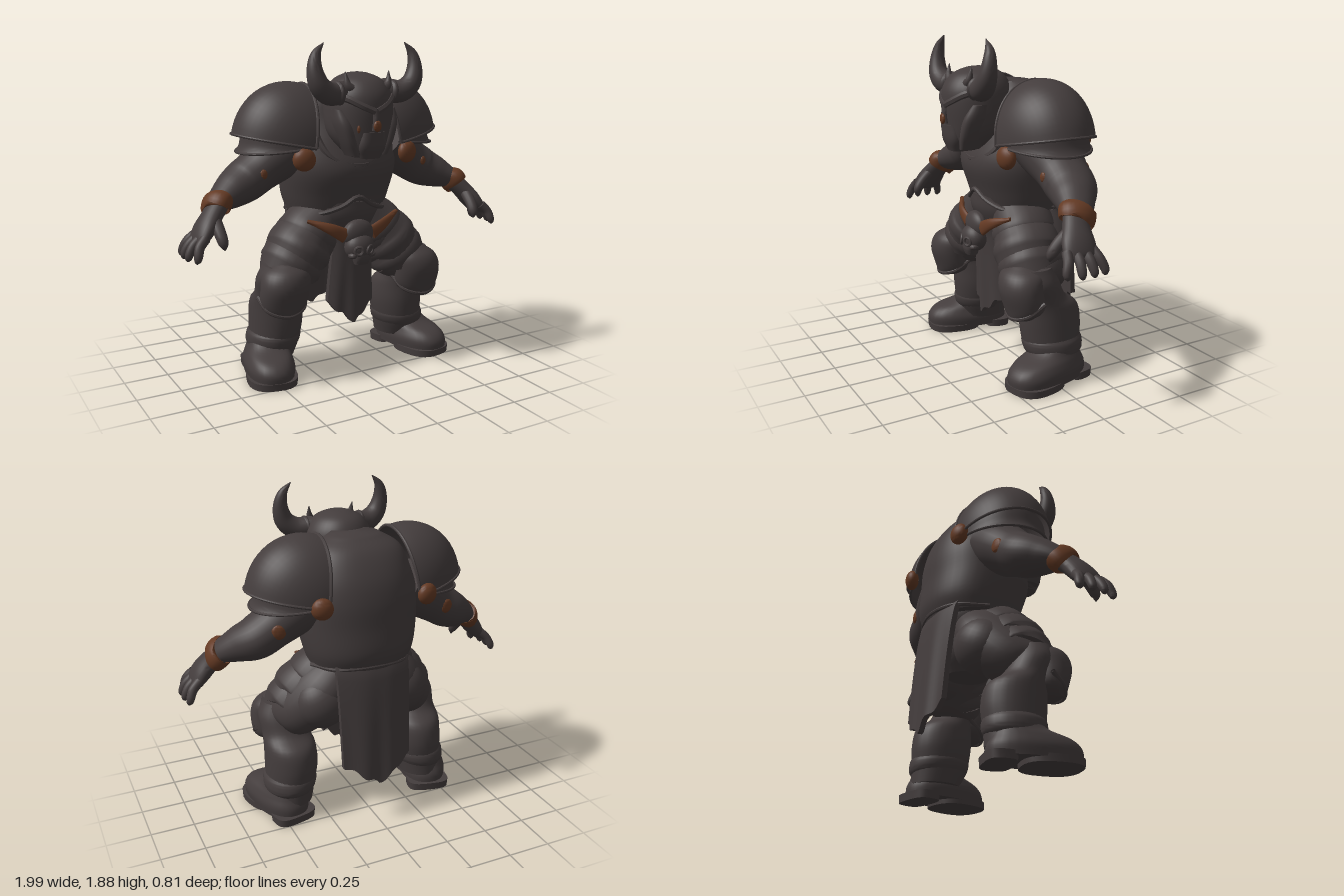
import * as THREE from 'three';
import { toCreasedNormals } from 'three/addons/utils/BufferGeometryUtils.js';

const material = (name, color) => {
  const m = new THREE.MeshStandardMaterial({ color, side: THREE.DoubleSide });
  m.name = name;
  return m;
};

// Smooth tube through rows of [x, y, z, radiusA, radiusB].
// flat: rings stay horizontal (rows run upward); power > 1 makes rings boxier.
function loft(rows, { flat = false, n = 28, steps = 5, power = 1 } = {}) {
  const path = new THREE.CatmullRomCurve3(rows.map(r => new THREE.Vector3(r[0], r[1], r[2])));
  const size = new THREE.CatmullRomCurve3(rows.map(r => new THREE.Vector3(r[3], r[4] ?? r[3], 0)));
  path.curveType = size.curveType = 'catmullrom';
  const count = (rows.length - 1) * steps, pos = [], idx = [];
  const soft = v => Math.sign(v) * Math.abs(v) ** (1 / power);
  for (let i = 0; i <= count; i++) {
    const c = path.getPoint(i / count), s = size.getPoint(i / count);
    const T = flat ? new THREE.Vector3(0, 1, 0) : path.getTangent(i / count);
    const V = new THREE.Vector3(0, 0, 1).addScaledVector(T, -T.z).normalize();
    const U = T.clone().cross(V);
    for (let j = 0; j < n; j++) {
      const a = j / n * Math.PI * 2;
      const p = c.clone().addScaledVector(U, soft(Math.cos(a)) * Math.max(s.x, 0.001))
        .addScaledVector(V, soft(Math.sin(a)) * Math.max(s.y, 0.001));
      pos.push(p.x, p.y, p.z);
    }
  }
  for (let i = 0; i < count; i++) for (let j = 0; j < n; j++) {
    const a = i * n + j, b = i * n + (j + 1) % n;
    idx.push(a, a + n, b, b, a + n, b + n);
  }
  // end caps
  const first = rows[0], last = rows[rows.length - 1], top = count * n, k = pos.length / 3;
  pos.push(first[0], first[1], first[2], last[0], last[1], last[2]);
  for (let j = 0; j < n; j++) {
    const q = (j + 1) % n;
    idx.push(k, j, q, k + 1, top + q, top + j);
  }
  const g = new THREE.BufferGeometry();
  g.setAttribute('position', new THREE.Float32BufferAttribute(pos, 3));
  g.setIndex(idx);
  return g;
}

const place = (g, [x, y, z], [a, b, c] = [0, 0, 0]) =>
  g.rotateX(a).rotateY(b).rotateZ(c).translate(x, y, z);
const ball = (p, s, r) => place(new THREE.SphereGeometry(1, 28, 18).scale(...s), p, r);
const tube = (pts, r) => new THREE.TubeGeometry(
  new THREE.CatmullRomCurve3(pts.map(p => new THREE.Vector3(...p))), 28, r, 8);

// Point on a shoulder arch: t leans the arch outward, f runs from front pole to back pole.
const archPoint = (t, f, r, half) => {
  const q = (r + 0.026 * Math.sin(2 * t)) * Math.sin(f) ** 0.95;
  return [0.27 + Math.sin(t) * q, 1.32 + Math.cos(t) * q, -0.05 + half * Math.cos(f)];
};
const archRim = (t, r, half, width) => tube(
  Array.from({ length: 15 }, (_, i) => archPoint(t, i / 14 * Math.PI, r, half)), width);
function shoulderShell(from, to, radius, flare, half) {
  const g = new THREE.PlaneGeometry(1, 1, 14, 28), p = g.attributes.position;
  for (let i = 0; i < p.count; i++) {
    const u = p.getX(i) + 0.5, f = (p.getY(i) + 0.5) * Math.PI;
    p.setXYZ(i, ...archPoint(from + (to - from) * u, f, radius + flare * u ** 4, half));
  }
  return g;
}

// Hanging cloth with soft folds and a pointed hem.
function cloth(w0, w1, top, side, tip, z0, z1, curl) {
  const g = new THREE.BoxGeometry(1, 1, 1, 22, 14, 1), p = g.attributes.position;
  for (let i = 0; i < p.count; i++) {
    const x = p.getX(i) * 2, v = 0.5 - p.getY(i);
    const hem = tip + (side - tip) * Math.abs(x) + 0.012 * Math.sin(x * 11);
    const fold = 0.006 * v * Math.cos(x * 8);
    p.setXYZ(i, x * (w0 + (w1 - w0) * v), top + (hem - top) * v,
      z0 + (z1 - z0) * Math.sqrt(v) + curl * x * x + fold + p.getZ(i) * 0.03);
  }
  return g;
}

export function createModel() {
  const iron = material('dark iron', 0x443d3d);
  const bronze = material('bronze', 0x643a24);
  const model = new THREE.Group();
  model.name = 'hornedWarrior';

  const add = (name, geometry, mat = iron, mirror = false) => {
    const g = geometry.index ? geometry.toNonIndexed() : geometry.clone();
    for (const key of Object.keys(g.attributes)) if (key !== 'position') g.deleteAttribute(key);
    if (mirror) { // reflect in x and restore the winding
      const a = g.attributes.position.array;
      for (let i = 0; i < a.length; i += 9) for (let k = 0; k < 3; k++) {
        const s = k === 0 ? -1 : 1, t = a[i + 3 + k];
        a[i + k] *= s;
        a[i + 3 + k] = a[i + 6 + k] * s;
        a[i + 6 + k] = t * s;
      }
    }
    const mesh = new THREE.Mesh(toCreasedNormals(g, 0.75), mat);
    mesh.name = name;
    model.add(mesh);
  };
  const pair = (name, g, mat) => {
    add('left' + name, g, mat);
    add('right' + name, g, mat, true);
  };

  // Torso armour and pelvis
  add('torso', loft([[0, 0.93, -0.08, 0.29, 0.25], [0, 1.03, -0.08, 0.32, 0.28], [0, 1.18, -0.055, 0.345, 0.295],
    [0, 1.32, -0.07, 0.34, 0.27], [0, 1.45, -0.08, 0.3, 0.225], [0, 1.57, -0.06, 0.25, 0.17],
    [0, 1.64, -0.03, 0.14, 0.1]], { flat: true, n: 40, power: 1.1 }));
  add('abdomen', loft([[0, 0.84, -0.05, 0.24, 0.22], [0, 0.92, -0.05, 0.26, 0.25], [0, 1, -0.05, 0.27, 0.25]], { flat: true }));
  add('pelvis', loft([[0, 0.62, -0.1, 0.1, 0.12], [0, 0.72, -0.08, 0.18, 0.19], [0, 0.9, -0.06, 0.25, 0.22]], { flat: true }));
  add('breastplateRim', tube([[-0.3, 0.93, 0.02], [-0.2, 0.94, 0.13], [-0.09, 0.98, 0.185], [0, 1.03, 0.205],
    [0.09, 0.98, 0.185], [0.2, 0.94, 0.13], [0.3, 0.93, 0.02]], 0.014));
  add('gorget', tube([[-0.215, 1.58, 0.05], [-0.225, 1.42, 0.1], [-0.17, 1.27, 0.175], [0, 1.21, 0.22],
    [0.17, 1.27, 0.175], [0.225, 1.42, 0.1], [0.215, 1.58, 0.05]], 0.02));
  add('backRim', tube([[-0.3, 0.94, -0.12], [-0.2, 0.95, -0.28], [0, 0.96, -0.335], [0.2, 0.95, -0.28], [0.3, 0.94, -0.12]], 0.012));

  // Helmet
  add('helmet', loft([[0, 1.27, 0.27, 0.08, 0.075], [0, 1.31, 0.245, 0.125, 0.125], [0, 1.4, 0.205, 0.18, 0.175],
    [0, 1.52, 0.195, 0.192, 0.195], [0, 1.61, 0.19, 0.182, 0.19], [0, 1.68, 0.185, 0.135, 0.145],
    [0, 1.715, 0.18, 0.065, 0.07], [0, 1.725, 0.18, 0.002, 0.002]], { flat: true, n: 36 }));
  add('noseGuard', loft([[0, 1.42, 0.38, 0.022, 0.022], [0, 1.47, 0.385, 0.02, 0.02], [0, 1.53, 0.375, 0.026, 0.022]],
    { flat: true, n: 12 }));
  add('nose', ball([0, 1.445, 0.402], [0.024, 0.03, 0.012]), bronze);
  add('cheekMark', ball([-0.09, 1.43, 0.358], [0.009, 0.022, 0.008], [0, -0.4, 0]), bronze);
  add('mouthGuard', loft([[0, 1.265, 0.3, 0.06, 0.06], [0, 1.33, 0.32, 0.085, 0.065], [0, 1.41, 0.325, 0.075, 0.065]],
    { flat: true, power: 1.5 }));
  pair('Brow', tube([[0.005, 1.52, 0.382], [0.07, 1.55, 0.365], [0.13, 1.585, 0.32], [0.17, 1.6, 0.25]], 0.022));
  pair('CheekGuard', loft([[0.085, 1.28, 0.28, 0.03, 0.06], [0.115, 1.36, 0.27, 0.04, 0.08],
    [0.14, 1.45, 0.255, 0.045, 0.085], [0.155, 1.53, 0.24, 0.035, 0.06]], { flat: true, n: 20, power: 1.3 }));
  pair('Horn', loft([[0.13, 1.62, 0.25, 0.06], [0.22, 1.615, 0.275, 0.062], [0.285, 1.66, 0.285, 0.056], [0.31, 1.74, 0.28, 0.043],
    [0.298, 1.82, 0.27, 0.027], [0.25, 1.88, 0.265, 0.002]]));
  pair('HornCollar', ball([0.165, 1.615, 0.265], [0.03, 0.068, 0.07], [0, 0, -0.1]));
  pair('BrowSpike', loft([[0.09, 1.63, 0.3, 0.03], [0.125, 1.66, 0.3, 0.022], [0.135, 1.73, 0.29, 0.002]], { n: 10 }));

  // Layered shoulders with bronze bosses
  pair('Pauldron', shoulderShell(-0.15, 1.38, 0.345, 0.018, 0.27));
  pair('LowerPauldron', shoulderShell(1.25, 1.66, 0.31, 0.04, 0.25));
  pair('PauldronRim', archRim(1.38, 0.363, 0.27, 0.008));
  pair('PauldronInnerRim', archRim(-0.15, 0.345, 0.27, 0.01));
  pair('LowerPauldronRim', archRim(1.66, 0.35, 0.25, 0.008));
  pair('FrontBoss', ball([0.33, 1.262, 0.19], [0.064, 0.064, 0.04], [0, 0.25, 0]), bronze);
  pair('BackBoss', ball([0.31, 1.33, -0.32], [0.06, 0.06, 0.04], [0, -0.25, 0]), bronze);

  // Arms
  pair('Arm', loft([[0.3, 1.32, -0.05, 0.15, 0.19], [0.4, 1.25, -0.06, 0.145, 0.17], [0.5, 1.18, -0.06, 0.125, 0.145],
    [0.59, 1.125, -0.05, 0.118, 0.14], [0.68, 1.085, -0.01, 0.095, 0.112], [0.76, 1.045, 0.03, 0.062, 0.085], [0.8, 1.0, 0.05, 0.05, 0.065]]));
  pair('FrontStud', ball([0.52, 1.18, 0.077], [0.022, 0.028, 0.012], [0, 0.2, 0]), bronze);
  pair('BackStud', ball([0.51, 1.19, -0.197], [0.04, 0.042, 0.014], [0, -0.2, 0]), bronze);
  pair('Bracelet', loft([[0.764, 1.052, 0.028, 0.06, 0.088], [0.77, 1.046, 0.033, 0.074, 0.102],
    [0.79, 1.014, 0.045, 0.072, 0.098], [0.794, 1.006, 0.05, 0.058, 0.084]], { steps: 3 }), bronze);

  // Hands
  pair('Palm', loft([[0.775, 1.03, 0.045, 0.052, 0.07], [0.82, 0.98, 0.07, 0.052, 0.075], [0.87, 0.92, 0.09, 0.05, 0.092],
    [0.91, 0.865, 0.1, 0.035, 0.092], [0.92, 0.85, 0.1, 0.015, 0.07]]));
  for (let i = 0; i < 4; i++) {
    const z = 0.03 + i * 0.048, s = 0.022 * (i - 1.5), e = i === 3 ? -0.025 : i === 0 ? -0.01 : 0;
    pair('Finger' + (i + 1), loft([[0.895, 0.89, z, 0.028], [0.945 + e / 2, 0.85, z + s * 0.5, 0.026],
      [0.972 + e, 0.805, z + s, 0.023], [0.978 + e, 0.78, z + s, 0.016], [0.978 + e, 0.768, z + s, 0.002]], { n: 12, steps: 4 }));
  }
  pair('Thumb', loft([[0.82, 0.97, 0.11, 0.035], [0.815, 0.91, 0.175, 0.032], [0.81, 0.86, 0.21, 0.026], [0.805, 0.825, 0.215, 0.004]], { n: 14 }));

  // Thighs, overlapping tassets and rounded hip plates
  pair('Thigh', loft([[0.13, 0.87, -0.05, 0.14, 0.2], [0.22, 0.77, -0.04, 0.165, 0.23], [0.32, 0.66, -0.01, 0.16, 0.2],
    [0.39, 0.58, 0.05, 0.14, 0.15], [0.43, 0.52, 0.07, 0.11, 0.11]]));
  [[0.17, 0.87, 0, 0.165, 0.18], [0.24, 0.79, 0.02, 0.175, 0.19], [0.295, 0.715, 0.03, 0.17, 0.18]].forEach(([x, y, z, a, b], i) =>
    pair('Tasset' + (i + 1), loft([[x - 0.05, y + 0.06, z, a - 0.04, b - 0.03], [x + 0.02, y - 0.025, z, a, b],
      [x + 0.06, y - 0.08, z + 0.01, a + 0.008, b + 0.008], [x + 0.063, y - 0.085, z + 0.01, a - 0.02, b - 0.02]])));
  pair('HipPlate', ball([0.24, 0.715, -0.13], [0.175, 0.16, 0.155], [0, 0, -0.5]));

  // Shins and knee guards
  pair('Shin', loft([[0.43, 0.1, -0.07, 0.128, 0.145], [0.42, 0.2, -0.05, 0.142, 0.165], [0.41, 0.32, -0.045, 0.152, 0.178],
    [0.412, 0.43, -0.03, 0.148, 0.168], [0.42, 0.5, 0.02, 0.135, 0.13], [0.425, 0.59, 0.06, 0.136, 0.125],
    [0.42, 0.67, 0.08, 0.11, 0.11]], { flat: true }));
  pair('KneeGuard', loft([[0.445, 0.4, 0.16, 0.075, 0.07], [0.44, 0.45, 0.14, 0.13, 0.105], [0.435, 0.56, 0.155, 0.142, 0.12],
    [0.42, 0.64, 0.14, 0.13, 0.115], [0.41, 0.69, 0.13, 0.06, 0.06]], { flat: true }));
  pair('KneeRim', tube([[0.305, 0.5, 0.09], [0.335, 0.435, 0.18], [0.445, 0.405, 0.225], [0.545, 0.435, 0.18], [0.575, 0.5, 0.09]], 0.014));
  pair('ShinPlate', loft([[0.44, 0.14, -0.055, 0.12, 0.14], [0.43, 0.18, -0.055, 0.148, 0.17], [0.422, 0.23, -0.05, 0.154, 0.175],
    [0.42, 0.26, -0.05, 0.14, 0.16]], { flat: true }));

  // Boots, toes turned out
  const foot = g => g.rotateY(0.22).translate(0.485, 0, 0.01);
  pair('Boot', foot(loft([[0, 0.03, 0.01, 0.135, 0.25], [0, 0.09, 0.012, 0.14, 0.25], [0, 0.14, 0, 0.125, 0.215],
    [-0.005, 0.18, -0.05, 0.11, 0.15], [-0.01, 0.23, -0.08, 0.1, 0.11]], { flat: true, power: 1.2 })));
  pair('Sole', foot(loft([[0, 0.005, 0.1, 0.14, 0.162], [0, 0.045, 0.1, 0.142, 0.165]], { flat: true, power: 1.3, steps: 2 })));
  pair('Heel', foot(loft([[0, 0.005, -0.175, 0.125, 0.08], [0, 0.05, -0.175, 0.128, 0.083]], { flat: true, power: 1.6, steps: 2 })));

  // Cloths, belt and skull buckle
  add('backCloth', cloth(0.22, 0.205, 0.98, 0.38, 0.25, -0.3, -0.385, 0.045));
  add('frontCloth', cloth(0.12, 0.15, 0.82, 0.4, 0.28, 0.19, 0.15, -0.05));
  pair('Belt', loft([[0.085, 0.815, 0.21, 0.042, 0.016], [0.18, 0.865, 0.2, 0.03, 0.016], [0.29, 0.908, 0.14, 0.01, 0.016]],
    { n: 16 }), bronze);
  add('buckle', ball([0, 0.82, 0.2], [0.098, 0.08, 0.05]));
  add('skull', ball([0, 0.745, 0.215], [0.09, 0.08, 0.07]));
  add('skullJaw', loft([[0, 0.65, 0.235, 0.04, 0.03], [0, 0.685, 0.235, 0.05, 0.042], [0, 0.73, 0.225, 0.06, 0.05]], { flat: true, power: 1.5 }));
  pair('SkullSocket', place(new THREE.TorusGeometry(0.023, 0.009, 8, 18), [0.036, 0.735, 0.276], [0, 0.4, 0]));
  pair('SkullCheek', ball([0.06, 0.705, 0.245], [0.025, 0.018, 0.03]));
  return model;
}
